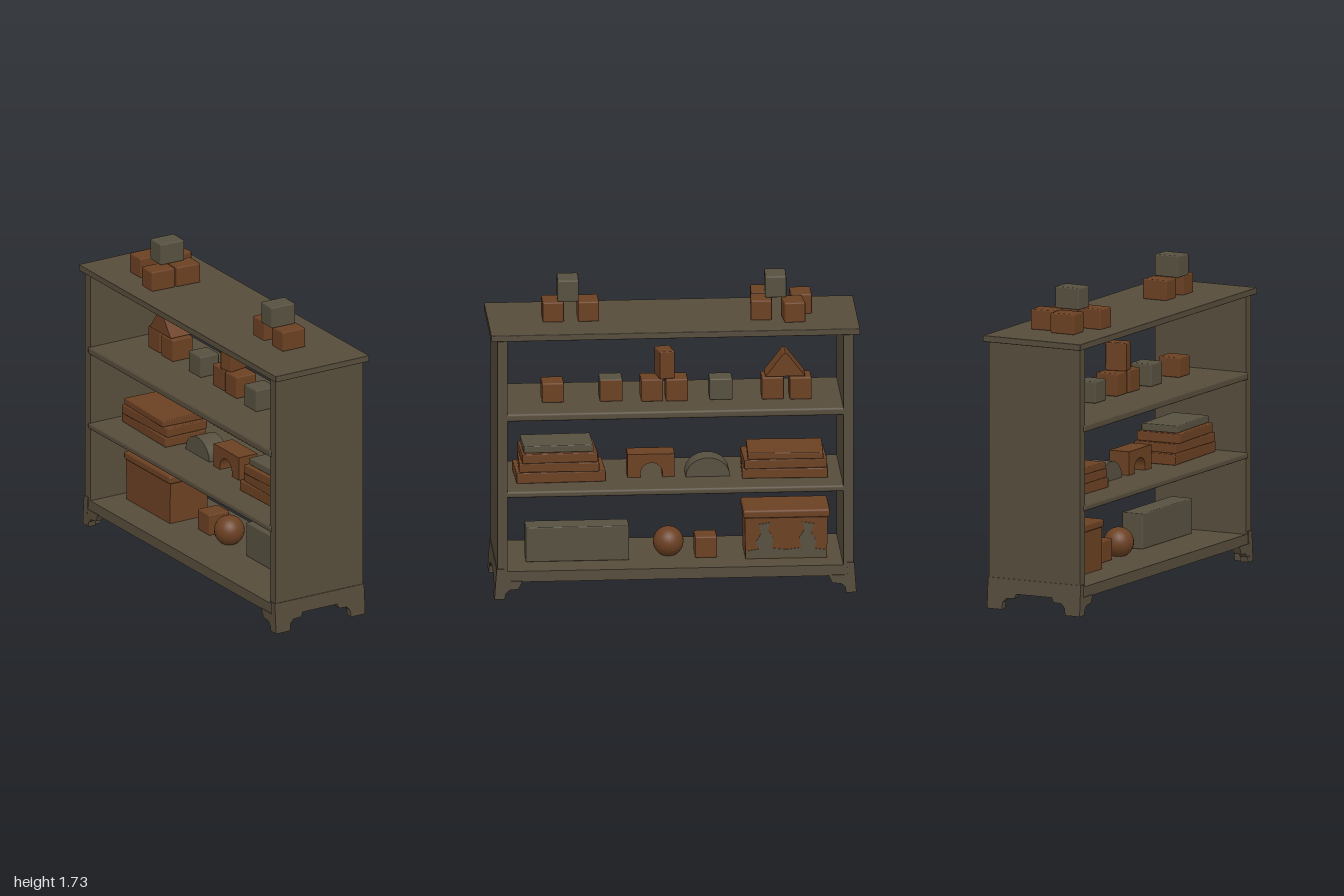
import * as THREE from 'three';
import { RoundedBoxGeometry } from 'three/addons/geometries/RoundedBoxGeometry.js';

const makeMat = (name, color) => Object.assign(new THREE.MeshStandardMaterial({ color }), { name });

export function createModel() {
  const wood = makeMat('dark wood', 0x564c3b);
  const grey = makeMat('grey paint', 0x575040);
  const orange = makeMat('orange brown', 0x6b4022);
  const root = new THREE.Group();
  root.name = 'toyShelf';

  const add = (name, geo, mat, x = 0, y = 0, z = 0, turn = 0) => {
    const m = new THREE.Mesh(geo, mat);
    m.name = name;
    m.position.set(x, y, z);
    m.rotation.y = turn;
    root.add(m);
    return m;
  };
  // box given by its min and max along each axis
  const span = (name, mat, x0, x1, y0, y1, z0, z1, turn = 0, r = 0.006) =>
    add(name, r ? new RoundedBoxGeometry(x1 - x0, y1 - y0, z1 - z0, 1, r)
      : new THREE.BoxGeometry(x1 - x0, y1 - y0, z1 - z0),
    mat, (x0 + x1) / 2, (y0 + y1) / 2, (z0 + z1) / 2, turn);
  const shapeOf = pts => new THREE.Shape(pts.map(p => new THREE.Vector2(...p)));
  const extrude = (shape, depth) => new THREE.ExtrudeGeometry(shape, { depth, bevelEnabled: false, curveSegments: 16 });
  // profile drawn in (z, y), extruded along x and centred on x
  const across = (name, shape, width, mat, x) => {
    const g = extrude(shape, width);
    g.translate(0, 0, -width / 2);
    g.rotateY(-Math.PI / 2);
    return add(name, g, mat, x);
  };

  // cabinet
  span('topBoard', wood, -0.3, 0.3, 1.465, 1.5, -1, 1, 0, 0.004);
  span('upperShelf', wood, -0.288, 0.28, 1.003, 1.045, -0.93, 0.93, 0, 0.012);
  span('middleShelf', wood, -0.288, 0.28, 0.57, 0.605, -0.93, 0.93, 0, 0.012);
  span('bottomBoard', wood, -0.28, 0.28, 0.095, 0.155, -0.945, 0.945, 0, 0);
  const stain = add('shelfUndersideStain', new THREE.CircleGeometry(0.2, 32), orange, 0.05, 0.5685, 0.5);
  stain.rotation.x = Math.PI / 2;
  stain.scale.y = 1.2;

  // end panels, skirts and bracket feet
  const half = [[0.11, 0.09], [0.12, 0.065], [0.17, 0.062], [0.19, 0.04], [0.195, 0], [0.285, 0], [0.285, 0.17]];
  const skirt = shapeOf([...half, ...half.map(([x, y]) => [-x, y]).reverse()]);
  for (const s of [1, -1]) {
    const mid = s * 0.9375;
    span('endPanel', wood, -0.28, 0.28, 0.1, 1.466, mid - 0.0275, mid + 0.0275, 0, 0);
    const g = extrude(skirt, 0.04);
    g.translate(0, 0, -0.02);
    // skirt leans outward toward the floor
    const p = g.attributes.position;
    for (let i = 0; i < p.count; i++) p.setZ(i, p.getZ(i) + s * (0.17 - p.getY(i)) * 0.07);
    g.computeVertexNormals();
    add('endSkirt', g, wood, 0, 0, s * 0.949);
    const foot = [[0.98, 0], [0.925, 0], [0.92, 0.03], [0.9, 0.05], [0.852, 0.055], [0.838, 0.08], [0.83, 0.1], [0.965, 0.1]];
    for (const x of [-0.262, 0.262])
      across('bracketFoot', shapeOf(foot.map(([z, y]) => [z * s, y])), 0.045, wood, x);
  }

  // block stacks on the top board
  const topBlocks = [
    [0.005, 0.457, 0], [0.005, 0.648, 0],
    [-0.055, -0.7, 0], [0.095, -0.65, 0.08], [-0.11, -0.49, -0.05], [0.045, -0.48, -0.06],
  ];
  for (const [x, z, turn] of topBlocks)
    add('toyBlock', new RoundedBoxGeometry(0.146, 0.112, 0.115, 1, 0.008), orange, x, 1.555, z, turn);
  for (const z of [0.565, -0.56])
    add('stackTopBlock', new RoundedBoxGeometry(0.15, 0.12, 0.115, 1, 0.008), grey, -0.01, 1.67, z, -0.03);

  // upper shelf toys: x, z, height
  for (const [x, z, h] of [[0.02, 0.65, 0.11], [0.035, 0.114, 0.125], [0.04, -0.02, 0.125],
    [0.04, -0.54, 0.125], [0.05, -0.69, 0.125]])
    add('shelfBlock', new RoundedBoxGeometry(0.13, h, 0.12, 1, 0.008), orange, x, 1.045 + h / 2, z);
  add('raisedBlock', new RoundedBoxGeometry(0.12, 0.155, 0.085, 1, 0.006), orange, 0.035, 1.2475, 0.043, 0.2);
  add('greyBlock', new RoundedBoxGeometry(0.12, 0.12, 0.125, 1, 0.008), grey, 0.035, 1.105, -0.26);
  add('twoToneBlock', new RoundedBoxGeometry(0.13, 0.125, 0.125, 1, 0.008),
    [orange, grey, grey, grey, grey, grey], 0.02, 1.1075, 0.335);
  across('roofBlock', shapeOf([[-0.5, 1.176], [-0.595, 1.3], [-0.607, 1.307], [-0.62, 1.3], [-0.715, 1.176]].reverse()),
    0.13, orange, 0.04);

  // middle shelf: books, y0, y1, z0, z1, turn
  const books = [
    [0.605, 0.665, 0.37, 0.855, 0.03], [0.665, 0.717, 0.4, 0.835, -0.02], [0.717, 0.77, 0.415, 0.825, 0.04],
    [0.605, 0.66, -0.84, -0.375, -0.03], [0.66, 0.712, -0.83, -0.38, 0.02], [0.712, 0.75, -0.815, -0.405, -0.03],
  ];
  for (const [y0, y1, z0, z1, t] of books) span('book', orange, -0.13, 0.13, y0, y1, z0, z1, t);
  span('topBook', grey, -0.11, 0.11, 0.77, 0.81, 0.435, 0.815, 0.03);

  // arch and half-round blocks
  const arch = new THREE.Shape();
  arch.moveTo(-0.01, 0.605).lineTo(0.245, 0.605).lineTo(0.245, 0.735).lineTo(-0.01, 0.735).closePath();
  const archCut = new THREE.Shape();
  archCut.moveTo(0.245, 0.605).lineTo(0.245, 0.735).lineTo(-0.01, 0.735).lineTo(-0.01, 0.605).lineTo(0.055, 0.605);
  archCut.lineTo(0.055, 0.625).absarc(0.115, 0.625, 0.06, Math.PI, 0, true).lineTo(0.175, 0.605).closePath();
  across('archBlock', archCut, 0.12, orange, 0);
  const dome = new THREE.Shape();
  dome.moveTo(-0.07, 0.605).absellipse(-0.19, 0.605, 0.12, 0.105, 0, Math.PI, false).closePath();
  across('halfRoundBlock', dome, 0.12, grey, 0.01);

  // bottom shelf: crate, ball, block
  span('greyCrate', grey, -0.01, 0.12, 0.155, 0.35, 0.24, 0.8);
  add('ball', new THREE.SphereGeometry(0.083, 24, 16), orange, 0.02, 0.228, 0.022);
  span('floorBlock', orange, -0.02, 0.11, 0.155, 0.275, -0.238, -0.118, 0, 0.008);

  // storage bin with lid and painted front
  const bin = new THREE.BoxGeometry(0.24, 0.23, 0.45);
  const bp = bin.attributes.position;
  for (let i = 0; i < bp.count; i++) if (bp.getY(i) < 0) bp.setZ(i, bp.getZ(i) * 0.98);
  add('storageBin', bin, orange, 0.02, 0.27, -0.61);
  span('binLid', orange, -0.11, 0.15, 0.385, 0.43, -0.847, -0.377, 0, 0.012);
  const motif = [[0, 0.16], [0.215, 0.16], [0.215, 0.2], [0.15, 0.21], [0.165, 0.25], [0.135, 0.3], [0.15, 0.35],
    [0.085, 0.36], [0.1, 0.32], [0.07, 0.27], [0.08, 0.215], [0, 0.205]];
  for (const s of [1, -1]) {
    const pts = motif.map(([z, y]) => [-0.61 + s * z, y]);
    across('binMotif', shapeOf(pts), 0.004, grey, 0.142);
  }
  return root;
}
